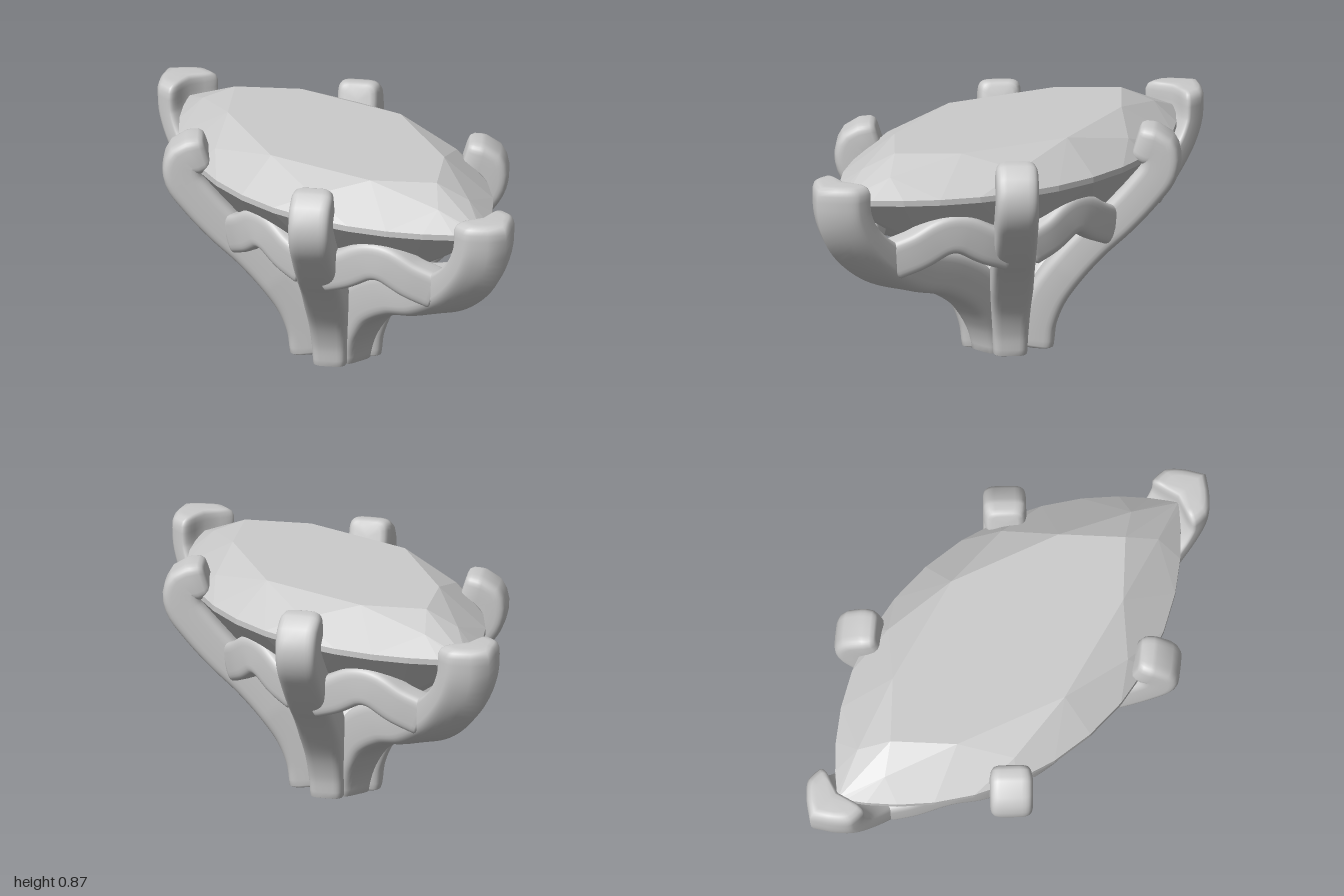
import * as THREE from 'three';
import { ConvexGeometry } from 'three/addons/geometries/ConvexGeometry.js';

const V = (x, y, z) => new THREE.Vector3(x, y, z);
const SIDES = 32;

// Rounded rectangle cross-section point, optionally folded into a chevron
function sectionPoint(k, hu, hv, fold) {
  const a = (k / SIDES) * Math.PI * 2;
  const soft = (c) => Math.sign(c) * Math.pow(Math.abs(c), 0.45);
  const u = hu * soft(Math.cos(a));
  const v = hv * soft(Math.sin(a));
  const bend = 0.05 - 0.75 * Math.sqrt(u * u + 0.0001);
  return [u, v + fold * bend * (0.75 + (0.25 * v) / hv)];
}

// Sweep a changing section along a path, with rounded ends
function sweep(points, side, size, bevelStart, bevelEnd, steps = 48) {
  const curve = new THREE.CatmullRomCurve3(points, false, 'centripetal');
  const stations = [[0, -bevelStart, 0.82], [0, -bevelStart * 0.7, 0.94]];
  for (let i = 0; i <= steps; i++) stations.push([i / steps, 0, 1]);
  stations.push([1, bevelEnd * 0.6, 0.93], [1, bevelEnd * 0.9, 0.8], [1, bevelEnd, 0.6]);

  const pos = [], index = [], ends = [];
  const put = (p) => pos.push(p.x, Math.max(0, p.y), p.z);
  stations.forEach(([t, shift, scale], i) => {
    const T = curve.getTangentAt(t);
    const S = side.clone().addScaledVector(T, -side.dot(T)).normalize();
    const N = S.clone().cross(T);
    const c = curve.getPointAt(t).addScaledVector(T, shift);
    if (i === 0 || i === stations.length - 1) ends.push(c);
    const [hu, hv, fold] = size(t);
    for (let k = 0; k < SIDES; k++) {
      const [u, v] = sectionPoint(k, hu, hv, fold);
      put(c.clone().addScaledVector(S, u * scale).addScaledVector(N, v * scale));
    }
  });
  const last = (stations.length - 1) * SIDES;
  ends.forEach(put);
  for (let k = 0; k < SIDES; k++) {
    const n = (k + 1) % SIDES;
    for (let r = 0; r < last; r += SIDES) {
      index.push(r + k, r + SIDES + k, r + n, r + n, r + SIDES + k, r + SIDES + n);
    }
    index.push(last + SIDES, k, n, last + SIDES + 1, last + n, last + k);
  }
  const g = new THREE.BufferGeometry();
  g.setAttribute('position', new THREE.Float32BufferAttribute(pos, 3));
  g.setIndex(index);
  g.computeVertexNormals();
  return g;
}

// Prong lying in the vertical plane at the given angle; profile is [radius, y]
function prong(profile, angle, size, bevel) {
  const s = Math.sin(angle), c = Math.cos(angle);
  return sweep(profile.map(([r, y]) => V(r * s, y, r * c)), V(c, 0, -s), size, 0.012, bevel);
}

// Pointed-oval ring of points at one height
function marquiseRing(scale, y, count, phase = 0) {
  const R = 1.047, half = 0.86, wide = 0.45, out = [];
  for (let i = 0; i < count; i++) {
    const a = ((i + phase) / count) * Math.PI * 2;
    const z = half * Math.cos(a);
    const x = Math.sign(Math.sin(a)) * (Math.sqrt(R * R - z * z) - (R - wide));
    out.push(V(x * scale, y, z * scale));
  }
  return out;
}

export function createModel() {
  const group = new THREE.Group();
  const metal = new THREE.MeshStandardMaterial({ color: 0xcccccc });
  const facet = new THREE.MeshStandardMaterial({ color: 0xcccccc, flatShading: true });
  const add = (name, geometry, material = metal) => {
    const mesh = new THREE.Mesh(geometry, material);
    mesh.name = name;
    group.add(mesh);
  };

  // Faceted stone: table, crown, girdle, pavilion and culet
  add('stone', new ConvexGeometry([
    ...marquiseRing(0.69, 0.865, 8),
    ...marquiseRing(0.87, 0.808, 8, 0.5),
    ...marquiseRing(1, 0.742, 32),
    ...marquiseRing(1, 0.72, 32),
    ...marquiseRing(0.62, 0.5, 8, 0.5),
    V(0, 0.36, 0),
  ]), facet);

  // Four side prongs hooking over the stone
  const sideProfile = [[0.098, 0.012], [0.11, 0.1], [0.148, 0.2], [0.215, 0.3], [0.31, 0.41],
    [0.415, 0.51], [0.505, 0.61], [0.562, 0.69], [0.57, 0.745], [0.552, 0.78], [0.52, 0.79]];
  const sideSize = (t) => [0.064 + 0.016 * Math.min(1, t * 3), 0.073, 0];
  const lean = Math.atan2(0.43, 0.38);
  for (const a of [lean, Math.PI - lean, Math.PI + lean, -lean]) {
    add('sideProng', prong(sideProfile, a, sideSize, 0.045));
  }

  // Two V-shaped prongs at the pointed ends
  const endProfile = [[0.075, 0.012], [0.087, 0.07], [0.118, 0.15], [0.2, 0.265], [0.362, 0.363],
    [0.535, 0.418], [0.715, 0.495], [0.84, 0.6], [0.889, 0.69], [0.897, 0.745], [0.897, 0.785]];
  const endSize = (t) => [
    0.066 + 0.054 * Math.min(1, t * 1.6),
    0.068 + 0.02 * THREE.MathUtils.smoothstep(t, 0, 0.3) - 0.028 * THREE.MathUtils.smoothstep(t, 0.5, 0.85),
    THREE.MathUtils.smoothstep(t, 0.45, 0.9),
  ];
  for (const a of [0, Math.PI]) add('endProng', prong(endProfile, a, endSize, 0.032));

  // Gallery rail: arched segments between neighbouring prongs
  const arch = [[0, 0.49], [0.2, 0.525], [0.4, 0.572], [0.5, 0.58], [0.6, 0.572], [0.8, 0.525], [1, 0.49]];
  const rail = (from, to, bow) => {
    const d = V(to[0] - from[0], 0, to[1] - from[1]);
    const out = V(d.z, 0, -d.x).normalize();
    if (out.x * (from[0] + to[0]) + out.z * (from[1] + to[1]) < 0) out.negate();
    const path = arch.map(([t, y]) => V(from[0] + d.x * t, y, from[1] + d.z * t)
      .addScaledVector(out, bow * 4 * t * (1 - t)));
    add('galleryRail', sweep(path, out, () => [0.052, 0.074, 0], 0.01, 0.01, 32));
  };
  for (const sx of [1, -1]) {
    rail([0.305 * sx, -0.2], [0.305 * sx, 0.2], 0.03);
    for (const sz of [1, -1]) rail([0.075 * sx, 0.675 * sz], [0.285 * sx, 0.29 * sz], 0.025);
  }
  return group;
}
